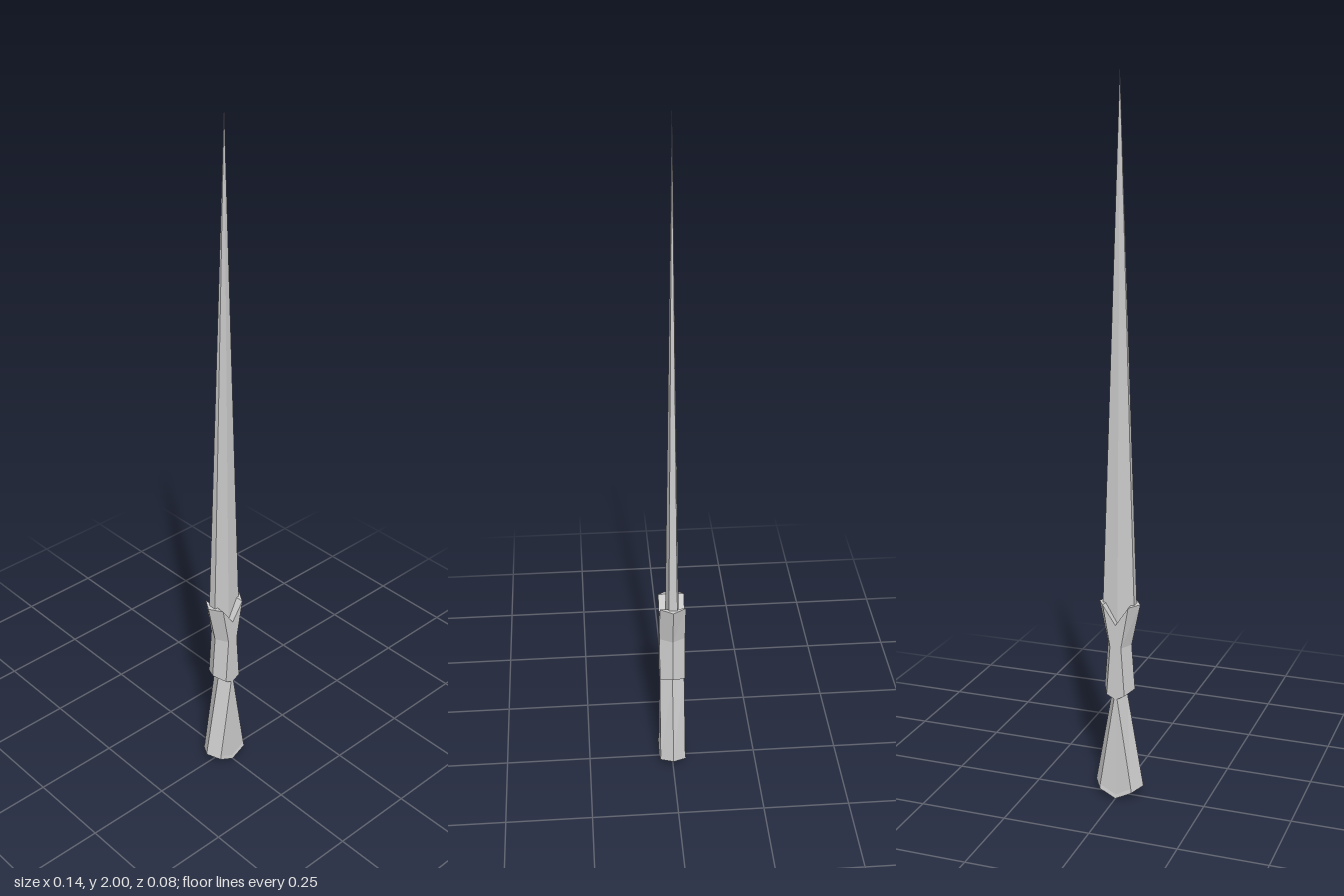
import * as THREE from 'three';

const material = new THREE.MeshStandardMaterial({ color: 0xcccccc, flatShading: true });

// Eight-point section: side points (w), corners (c, d) and mid ridge (0, m),
// each with its own height so ends can be V-shaped.
function section({ w, c, d, m = d, yw, yc = yw, y0 = yw }) {
  return [
    [w, yw, 0], [c, yc, d], [0, y0, m], [-c, yc, d],
    [-w, yw, 0], [-c, yc, -d], [0, y0, -m], [c, yc, -d],
  ];
}

// Skin a stack of sections from bottom to top and close both ends.
function loft(name, specs) {
  const rings = specs.map(section);
  const pos = [];
  const tri = (a, b, c) => pos.push(...a, ...b, ...c);
  for (let r = 0; r < rings.length - 1; r++) {
    const a = rings[r], b = rings[r + 1];
    for (let i = 0; i < 8; i++) {
      const j = (i + 1) % 8;
      tri(a[j], a[i], b[i]);
      tri(a[j], b[i], b[j]);
    }
  }
  const caps = [[0, 1, 7], [1, 2, 6], [1, 6, 7], [2, 3, 5], [2, 5, 6], [3, 4, 5]];
  const lo = rings[0], hi = rings[rings.length - 1];
  for (const [i, j, k] of caps) {
    tri(lo[i], lo[j], lo[k]);
    tri(hi[k], hi[j], hi[i]);
  }
  const geometry = new THREE.BufferGeometry();
  geometry.setAttribute('position', new THREE.Float32BufferAttribute(pos, 3));
  geometry.computeVertexNormals();
  const mesh = new THREE.Mesh(geometry, material);
  mesh.name = name;
  return mesh;
}

export function createModel() {
  const group = new THREE.Group();
  group.name = 'dagger';

  // Flared handle with a pointed, slightly wider rim at the base
  group.add(loft('grip', [
    { w: 0.071, c: 0.047, d: 0.039, yw: 0.034, yc: 0.024, y0: 0 },
    { w: 0.07, c: 0.046, d: 0.037, yw: 0.04, yc: 0.036, y0: 0.012 },
    { w: 0.022, c: 0.004, d: 0.036, yw: 0.312, yc: 0.305, y0: 0.303 },
  ]));

  // Waisted collar, V-shaped below and notched above
  group.add(loft('guard', [
    { w: 0.045, c: 0.026, d: 0.037, yw: 0.325, yc: 0.314, y0: 0.3 },
    { w: 0.035, c: 0.016, d: 0.037, yw: 0.455 },
    { w: 0.06, c: 0.037, d: 0.037, yw: 0.575, yc: 0.575, y0: 0.52 },
  ]));

  // Long tapering blade with a ridge on both faces and narrow flat edges
  group.add(loft('blade', [
    { w: 0.046, c: 0.046, d: 0.012, m: 0.02, yw: 0.56, y0: 0.5 },
    { w: 0.0003, c: 0.0003, d: 0.0001, m: 0.0002, yw: 2 },
  ]));

  return group;
}
